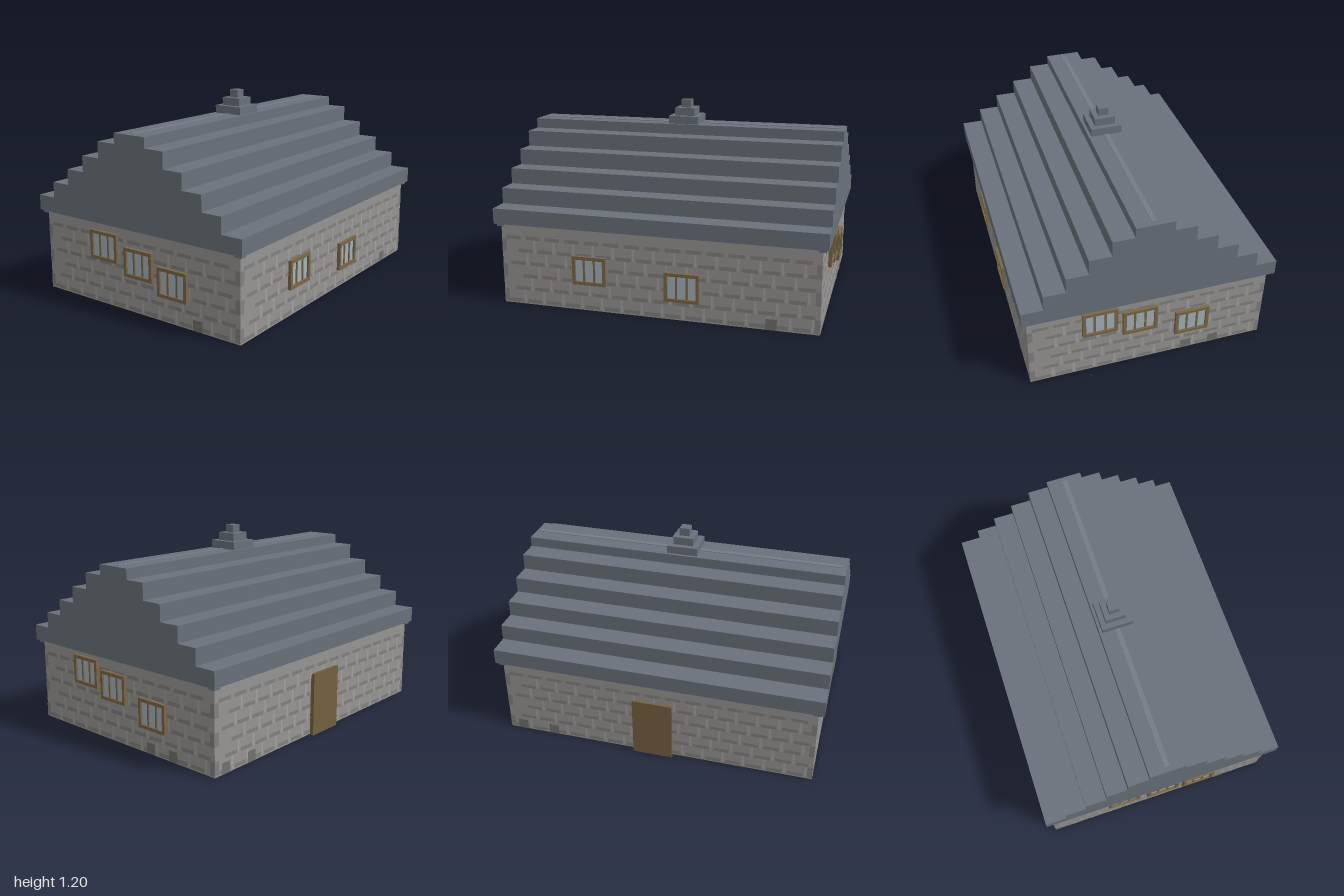
import * as THREE from 'three';
import { mergeGeometries } from 'three/addons/utils/BufferGeometryUtils.js';

const mat = (color) => new THREE.MeshStandardMaterial({ color });
const M = {
  stone: mat(0x979593), stoneDark: mat(0x83817f), stoneLight: mat(0xa3a2a0), block: mat(0x70706e),
  slate: mat(0x69717a), ridge: mat(0x747c86), wood: mat(0x7b6748), door: mat(0x75603f), glass: mat(0xa3b2ba),
};
const HX = 0.965, HZ = 0.725, WALL_H = 0.505;

function box(parent, name, material, w, h, d, x, y, z) {
  const mesh = new THREE.Mesh(new THREE.BoxGeometry(w, h, d), material);
  mesh.name = name;
  mesh.position.set(x, y, z);
  parent.add(mesh);
  return mesh;
}

// Flat stone facing: many rectangles [u, v, width, height] merged into one mesh
function facing(parent, name, material, rects, lift) {
  const parts = rects.map(([u, v, w, h]) => new THREE.PlaneGeometry(w, h).translate(u, v, lift));
  const mesh = new THREE.Mesh(mergeGeometries(parts), material);
  mesh.name = name;
  parent.add(mesh);
}

// Framed window with three panes
function addWindow(parent, u, bottom) {
  const W = 0.21, H = 0.175, T = 0.02, D = 0.02;
  const g = new THREE.Group();
  g.name = 'window';
  g.position.set(u, bottom + H / 2, 0);
  for (const s of [-1, 1]) {
    box(g, 'frameRail', M.wood, W, T, D, 0, s * (H - T) / 2, D / 2);
    box(g, 'frameStile', M.wood, T, H - 2 * T, D, s * (W - T) / 2, 0, D / 2);
    box(g, 'mullion', M.wood, 0.012, H - 2 * T, 0.014, s * 0.032, 0, 0.007);
  }
  box(g, 'glass', M.glass, W - 2 * T, H - 2 * T, 0.008, 0, 0, 0.004);
  parent.add(g);
}

// One wall's details; local x runs along the wall, local z points outward
function addWall(parent, name, half, dist, angle, windows, blocks) {
  const g = new THREE.Group();
  g.name = name;
  g.rotation.y = angle;
  const face = new THREE.Group();
  face.position.z = dist;
  g.add(face);

  const dark = [], light = [], quoins = [];
  const inner = half - 0.03, step = 0.125;
  for (let row = 0; row < 6; row++) {
    const y = 0.02 + row * 0.08, shift = (row * 0.05) % step;
    for (let u = -inner + shift; u < inner - 0.02; u += step) {
      const w = Math.min(0.095, inner - u);
      dark.push([u + w / 2, y, w, 0.022]);
      if (row < 5 && u + 0.115 < inner) light.push([u + 0.108, y + 0.03, 0.014, 0.075]);
    }
    if (row % 2 === 0 && row < 5)
      for (const s of [-1, 1]) quoins.push([s * (half - 0.015), y + 0.03, 0.03, 0.08]);
  }
  facing(face, 'stoneCourses', M.stoneDark, dark, 0.001);
  facing(face, 'stoneJoints', M.stoneLight, light, 0.0015);
  facing(face, 'cornerStones', M.stoneDark, quoins, 0.002);
  facing(face, 'baseBlocks', M.block, blocks.map((u) => [u, 0.034, 0.065, 0.066]), 0.003);
  windows.forEach(([u, y]) => addWindow(face, u, y));
  parent.add(g);
  return face;
}

export function createModel() {
  const house = new THREE.Group();
  house.name = 'house';

  // Walls
  box(house, 'walls', M.stone, HX * 2, WALL_H, HZ * 2, 0, WALL_H / 2, 0);
  addWall(house, 'frontWall', HX, HZ, 0, [[-0.4, 0.165], [0.168, 0.115]], [0.69]);
  addWall(house, 'leftWall', HZ, HX, Math.PI / 2, [[-0.302, 0.295], [-0.06, 0.245], [0.265, 0.15]], [0.24, 0.417]);
  addWall(house, 'rightWall', HZ, HX, -Math.PI / 2, [[-0.245, 0.275], [0.02, 0.215], [0.27, 0.15]], [0.44]);
  const back = addWall(house, 'backWall', HX, HZ, Math.PI, [], [-0.67, -0.88]);

  // Door on the back wall
  box(back, 'doorFrame', M.wood, 0.225, 0.37, 0.016, -0.01, 0.185, 0.008);
  box(back, 'door', M.door, 0.245, 0.385, 0.015, -0.01, 0.1925, 0.0235);

  // Small brackets under the eave corners
  for (const sx of [-1, 1]) for (const sz of [-1, 1])
    box(house, 'eaveBracket', M.slate, 0.045, 0.016, 0.045, sx * 0.9625, 0.497, sz * 0.7225);

  // Stepped roof: half depth of each step and its lower edge
  const steps = [[0.757, 0.505], [0.628, 0.6], [0.5, 0.697], [0.37, 0.793], [0.241, 0.89], [0.112, 0.988]];
  steps.forEach(([hz, y], i) => {
    const top = i < 5 ? steps[i + 1][1] : 1.05;
    box(house, 'roofStep', M.slate, 2, top - y, hz * 2, 0, (y + top) / 2, 0);
  });
  box(house, 'ridgeStrip', M.ridge, 1.94, 0.004, 0.03, 0, 1.051, 0);

  // Stepped chimney
  [0.095, 0.063, 0.031].forEach((r, i) =>
    box(house, 'chimneyStep', M.slate, r * 2, 0.049, r * 2, 0, 1.0745 + i * 0.049, 0));

  return house;
}
